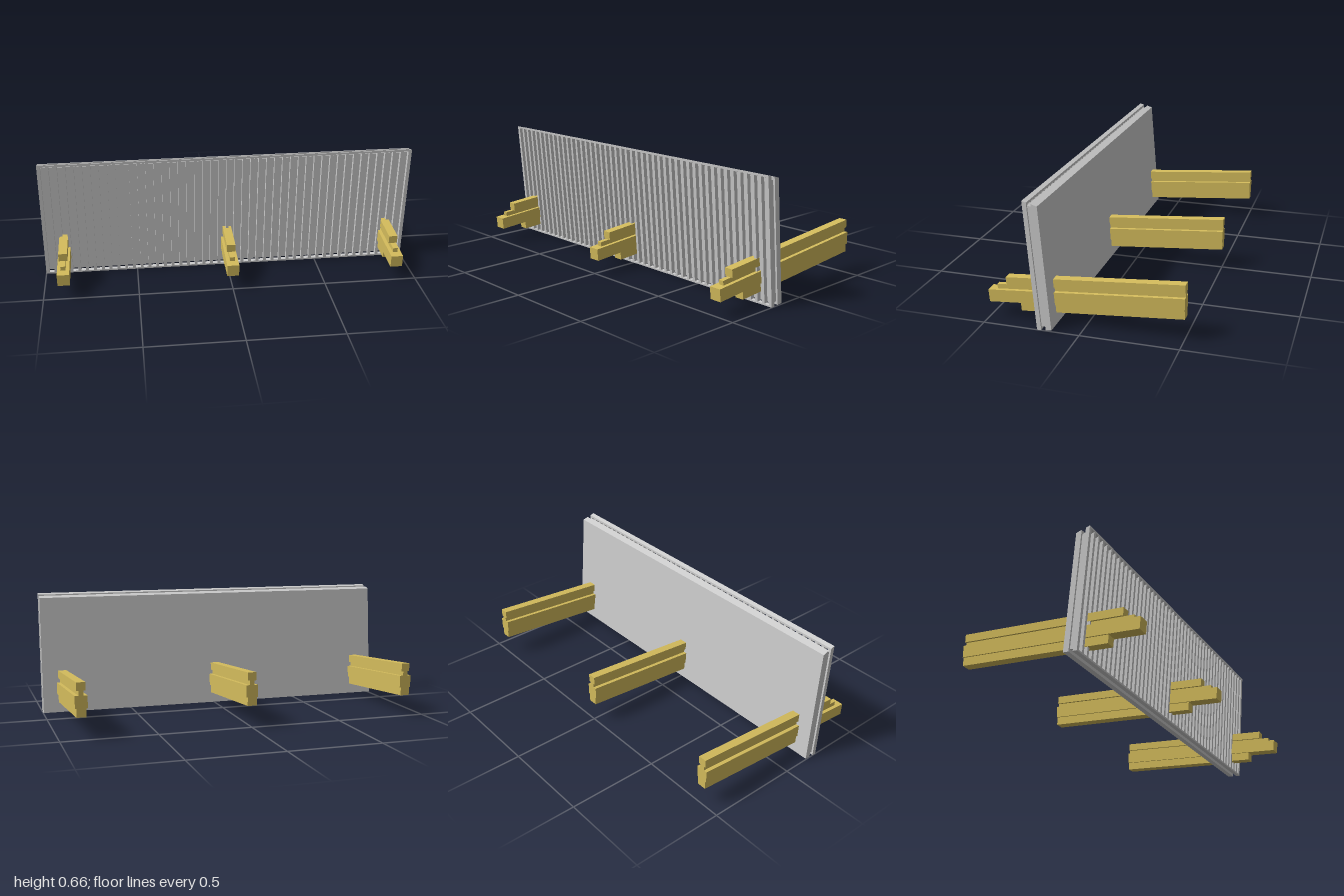
import * as THREE from 'three';

const grey = new THREE.MeshStandardMaterial({ color: 0xcccccc, flatShading: true });
const yellow = new THREE.MeshStandardMaterial({ color: 0xd4bc5c, flatShading: true });

function rectangle(Type, x0, y0, x1, y1) {
  const r = new Type();
  r.moveTo(x0, y0);
  r.lineTo(x1, y0);
  r.lineTo(x1, y1);
  r.lineTo(x0, y1);
  r.closePath();
  return r;
}

// One sheet of the wall; its top edge slopes down towards the back
function wallSheet(name, halfWidth, y0, y1, front, thickness, slots = []) {
  const shape = rectangle(THREE.Shape, -halfWidth, y0, halfWidth, y1);
  shape.holes.push(...slots);
  const geo = new THREE.ExtrudeGeometry(shape, { depth: thickness, bevelEnabled: false });
  geo.translate(0, 0, -thickness);
  const p = geo.attributes.position;
  for (let i = 0; i < p.count; i++) {
    p.setY(i, p.getY(i) + 0.4 * p.getZ(i) * p.getY(i) / y1);
  }
  geo.translate(0, 0, front);
  geo.computeVertexNormals();
  const mesh = new THREE.Mesh(geo, grey);
  mesh.name = name;
  return mesh;
}

// One lengthwise layer of a beam: square-cut at the front, cut upright at the back
function beamLayer(name, width, frontZ, backBottom, backTop) {
  const backZ = -0.503, slope = 0.0819;
  const at = (z, y) => y - (z - backZ) * slope;
  const topZ = frontZ - (backTop - backBottom) * slope;
  // the front end leans square to the run of the beam
  const shape = new THREE.Shape([
    new THREE.Vector2(backZ, backBottom),
    new THREE.Vector2(topZ, at(topZ, backBottom)),
    new THREE.Vector2(frontZ, at(frontZ, backTop)),
    new THREE.Vector2(backZ, backTop),
  ]);
  const geo = new THREE.ExtrudeGeometry(shape, { depth: width, bevelEnabled: false });
  geo.translate(0, 0, -width / 2);
  geo.rotateY(-Math.PI / 2);
  const mesh = new THREE.Mesh(geo, yellow);
  mesh.name = name;
  return mesh;
}

export function createModel() {
  const model = new THREE.Group();
  model.name = 'wallOnBeams';

  // Leaning wall: slotted front, slightly smaller core, plain back
  const wall = new THREE.Group();
  wall.name = 'wall';
  wall.position.set(0, 0.002, 0.217);
  wall.rotation.x = 0.08;
  const slots = [];
  const count = 46, pitch = 1.98 / count, slotWidth = 0.027;
  for (let i = 0; i < count; i++) {
    const x = -0.99 + (i + 0.5) * pitch;
    slots.push(rectangle(THREE.Path, x - slotWidth / 2, 0.009, x + slotWidth / 2, 0.655));
  }
  wall.add(
    wallSheet('slottedFront', 1, 0, 0.666, 0, 0.022, slots),
    wallSheet('core', 0.99, 0.016, 0.641, -0.022, 0.023),
    wallSheet('backPanel', 1, 0, 0.651, -0.045, 0.03),
  );
  model.add(wall);

  // Three stepped beams running through the wall
  [['right', -0.89], ['middle', 0], ['left', 0.89]].forEach(([side, x]) => {
    const beam = new THREE.Group();
    beam.name = side + 'Beam';
    beam.position.x = x;
    beam.add(
      beamLayer('bottomRail', 0.05, 0.335, 0.118, 0.163),
      beamLayer('mainRail', 0.064, 0.505, 0.163, 0.228),
      beamLayer('neck', 0.026, 0.463, 0.228, 0.252),
      beamLayer('topRail', 0.046, 0.412, 0.252, 0.295),
    );
    model.add(beam);
  });
  return model;
}
